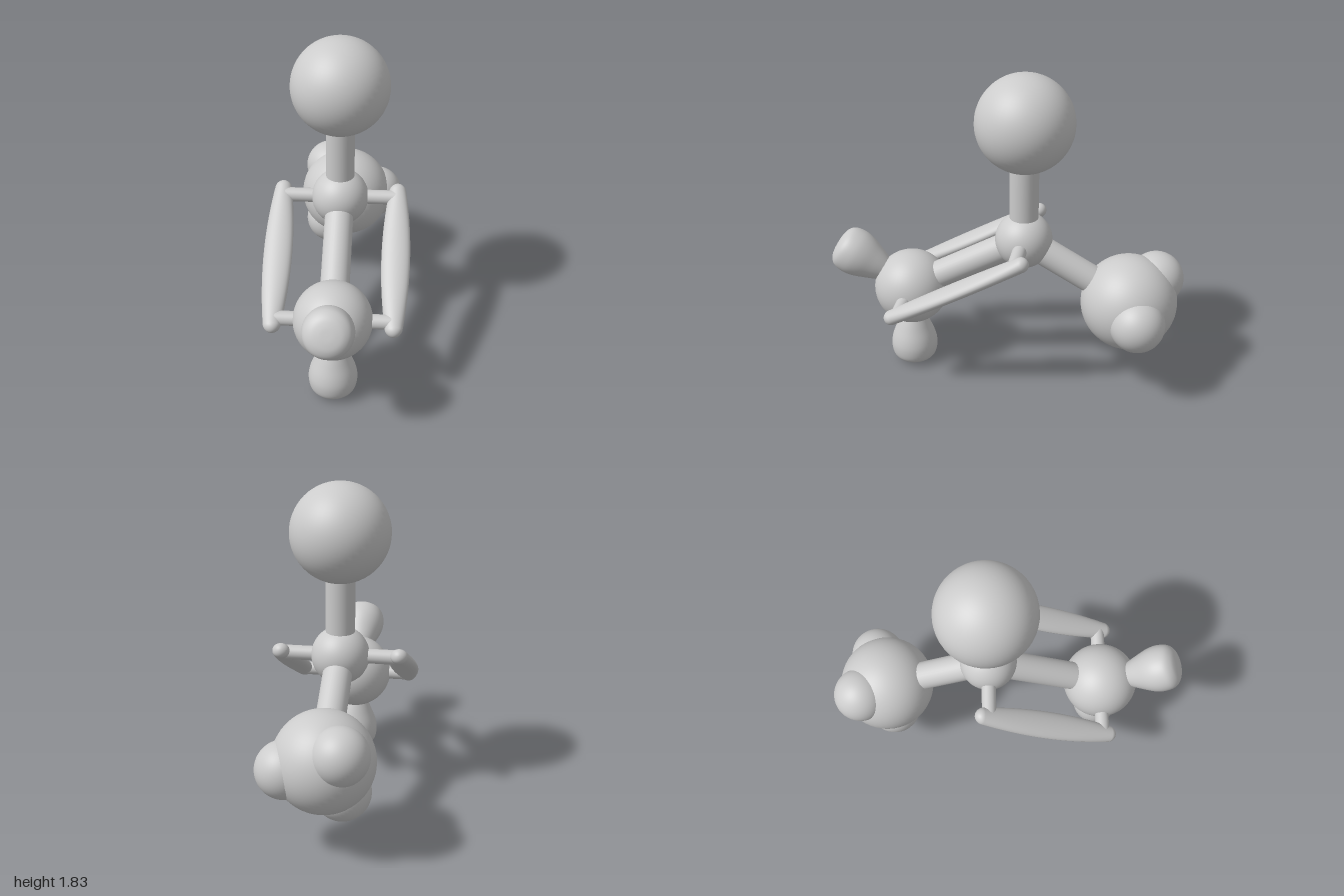
import * as THREE from 'three';

const material = new THREE.MeshStandardMaterial({ color: 0xcccccc });
const UP = new THREE.Vector3(0, 1, 0);
const V = (x, y, z) => new THREE.Vector3(x, y, z);

export function createModel() {
  const group = new THREE.Group();

  const add = (name, geometry, position) => {
    const mesh = new THREE.Mesh(geometry, material);
    mesh.name = name;
    mesh.position.copy(position);
    group.add(mesh);
    return mesh;
  };
  const ball = (name, center, radius) =>
    add(name, new THREE.SphereGeometry(radius, 48, 32), center);
  const rod = (name, a, b, radius) => {
    const geometry = new THREE.CylinderGeometry(radius, radius, a.distanceTo(b), 32);
    const mesh = add(name, geometry, a.clone().lerp(b, 0.5));
    mesh.quaternion.setFromUnitVectors(UP, b.clone().sub(a).normalize());
  };

  // Main balls and the rods joining them
  const hub = V(0, 0.87, -0.1);
  const top = V(0, 1.56, -0.1);
  const front = V(0, 0.5, 0.555);
  const back = V(0, 0.53, -0.7);
  ball('hubBall', hub, 0.16);
  ball('topBall', top, 0.27);
  ball('frontBall', front, 0.215);
  ball('backBall', back, 0.27);
  rod('topRod', hub, top, 0.08);
  rod('frontRod', hub, front, 0.08);
  rod('backRod', hub, back, 0.08);

  // Three small balls sunk into the back ball, spread evenly round its rod axis
  const axis = V(0, -0.5, -0.866);
  const across = V(0, 0.866, -0.5);
  for (let i = 0; i < 3; i++) {
    const a = THREE.MathUtils.degToRad(2 + 120 * i);
    const dir = V(Math.cos(a), 0, 0).addScaledVector(across, Math.sin(a))
      .multiplyScalar(0.943).addScaledVector(axis, 1 / 3);
    ball('smallBall' + (i + 1), back.clone().addScaledVector(dir, 0.205), 0.153);
  }

  // Teardrop lobes on the front ball, one down and one forward and up
  const profile = new THREE.SplineCurve([
    [0.03, 0.1], [0.075, 0.2], [0.1, 0.26], [0.126, 0.33], [0.135, 0.39],
    [0.124, 0.45], [0.09, 0.482], [0.045, 0.494], [0, 0.496],
  ].map(([r, y]) => new THREE.Vector2(r, y))).getPoints(40);
  profile[profile.length - 1].x = 0;
  const lobe = new THREE.LatheGeometry(profile, 48);
  add('lowerLobe', lobe, front).rotation.x = Math.PI;
  add('forwardLobe', lobe, front).quaternion.setFromUnitVectors(UP, V(0, 0.5, 0.866).normalize());

  // Side spindles: capsules that swell sideways towards the middle
  const half = 0.46;
  const spindle = new THREE.CapsuleGeometry(0.041, 0.84, 12, 32, 40);
  const p = spindle.attributes.position;
  for (let i = 0; i < p.count; i++) {
    const t = Math.min(1, Math.abs(p.getY(i)) / half);
    p.setX(i, p.getX(i) * (1 + 0.93 * (1 - t * t)));
  }
  spindle.computeVertexNormals();
  const slope = hub.clone().sub(front).normalize();
  for (const [side, s] of [['left', 1], ['right', -1]]) {
    const out = V(0.325 * s, 0, 0);
    add(side + 'Spindle', spindle, hub.clone().lerp(front, 0.5).add(out))
      .quaternion.setFromUnitVectors(UP, slope);
    rod(side + 'HubPeg', hub, hub.clone().add(out), 0.04);
    rod(side + 'FrontPeg', front, front.clone().add(out), 0.04);
  }

  return group;
}
